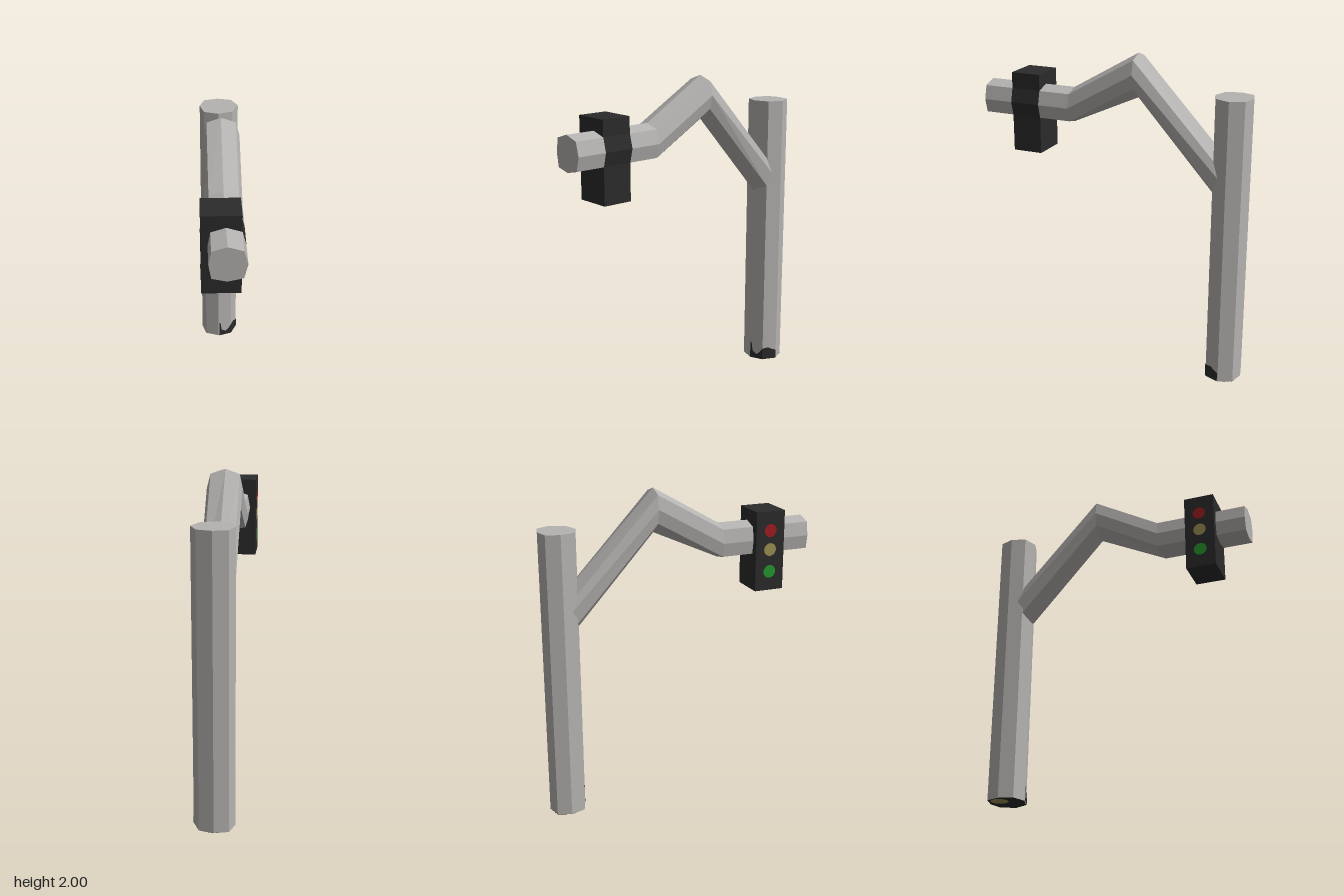
import * as THREE from 'three';

const mat = (name, color, opts = {}) => {
  const m = new THREE.MeshStandardMaterial({ color, ...opts });
  m.name = name;
  return m;
};

// Skins matching rings of points; rings run right-handed about the loft direction.
function loft(rings, capStart, capEnd) {
  const pos = [];
  const tri = (a, b, c) => pos.push(...a, ...b, ...c);
  const n = rings[0].length;
  for (let k = 0; k < rings.length - 1; k++) {
    for (let i = 0; i < n; i++) {
      const j = (i + 1) % n;
      const [a, b, c, d] = [rings[k][i], rings[k][j], rings[k + 1][j], rings[k + 1][i]];
      tri(a, b, c);
      tri(a, c, d);
    }
  }
  const first = rings[0], last = rings[rings.length - 1];
  for (let i = 1; i < n - 1; i++) {
    if (capStart) tri(first[0], first[i + 1], first[i]);
    if (capEnd) tri(last[0], last[i], last[i + 1]);
  }
  const g = new THREE.BufferGeometry();
  g.setAttribute('position', new THREE.Float32BufferAttribute(pos, 3));
  g.computeVertexNormals();
  return g;
}

export function createModel() {
  const group = new THREE.Group();
  const grey = mat('concrete grey', 0xb5b3b1, { flatShading: true });
  const black = mat('housing black', 0x2b2b2b, { flatShading: true, side: THREE.DoubleSide });
  const red = mat('lamp red', 0xa01c22);
  const yellow = mat('lamp yellow', 0x9c8f52);
  const green = mat('lamp green', 0x24962c);

  const add = (name, geometry, material, x = 0, y = 0, z = 0) => {
    const mesh = new THREE.Mesh(geometry, material);
    mesh.name = name;
    mesh.position.set(x, y, z);
    group.add(mesh);
    return mesh;
  };

  // Upright pole: slightly uneven octagon
  const outline = [[0, -0.628], [0.09, -0.66], [0.13, -0.75], [0.09, -0.835],
    [0, -0.858], [-0.088, -0.835], [-0.117, -0.75], [-0.09, -0.66]];
  const poleRing = (y) => outline.map(([x, z]) => [x, y, z]);
  add('pole', loft([poleRing(0), poleRing(1.795)], false, true), grey);
  add('poleFoot', loft([poleRing(0), poleRing(0.002)], true, false), black);

  // Round mark under the foot
  const mark = add('footMark', new THREE.CircleGeometry(0.055, 16), yellow, -0.045, -0.001, -0.775);
  mark.rotation.x = Math.PI / 2;

  // Ragged dark stain around the front left of the foot: [x, z, height]
  const stain = [[0.003, -0.629, 0.12], [0.012, -0.632, 0.11], [0.02, -0.635, 0.05], [0.05, -0.646, 0.03],
    [0.07, -0.653, 0.05], [0.09, -0.66, 0.08], [0.107, -0.698, 0.085], [0.118, -0.723, 0.07], [0.13, -0.75, 0.06]];
  const pos = [], idx = [];
  stain.forEach(([x, z, h], i) => {
    pos.push(x + 0.002, 0, z + 0.003, x + 0.002, h, z + 0.003);
    if (i) {
      const a = 2 * i - 2;
      idx.push(a, a + 2, a + 3, a, a + 3, a + 1);
    }
  });
  const stainGeo = new THREE.BufferGeometry();
  stainGeo.setAttribute('position', new THREE.Float32BufferAttribute(pos, 3));
  stainGeo.setIndex(idx);
  stainGeo.computeVertexNormals();
  add('footStain', stainGeo, black);

  // Bent arm: octagonal sections from the pole, over the peak, out to the front
  const armX = [0.11, 0.088, 0, -0.085, -0.1, -0.085, 0, 0.088];
  const level = [1.64, 1.725, 1.752, 1.725, 1.64, 1.555, 1.535, 1.555];
  const peak = [1.885, 1.97, 2, 1.97, 1.885, 1.8, 1.73, 1.8];
  const root = [1.325, 1.42, 1.5, 1.42, 1.325, 1.24, 1.195, 1.24];
  const rootZ = [-0.69, -0.66, -0.63, -0.66, -0.69, -0.66, -0.63, -0.66];
  const armRing = (ys, z) => armX.map((x, i) => [x, ys[i], z]);
  const rootRing = root.map((y, i) => [Math.max(-0.1, Math.min(0.105, armX[i])), y, rootZ[i]]);
  add('arm', loft([rootRing, armRing(peak, -0.145), armRing(level, 0.28), armRing(level, 0.48)], false, false), grey);
  add('armSleeve', loft([armRing(level, 0.48), armRing(level, 0.67)], false, false), black);
  add('armTip', loft([armRing(level, 0.67), armRing(level, 0.858)], false, true), grey);

  // Signal housing with three lamps on its right side
  add('signalHousing', new THREE.BoxGeometry(0.225, 0.5, 0.19), black, -0.025, 1.575, 0.575);
  [['redLamp', red, 1.705], ['yellowLamp', yellow, 1.585], ['greenLamp', green, 1.445]].forEach(([name, m, y]) => {
    const lamp = add(name, new THREE.CircleGeometry(0.041, 16), m, -0.1395, y, 0.575);
    lamp.rotation.y = -Math.PI / 2;
  });

  return group;
}
